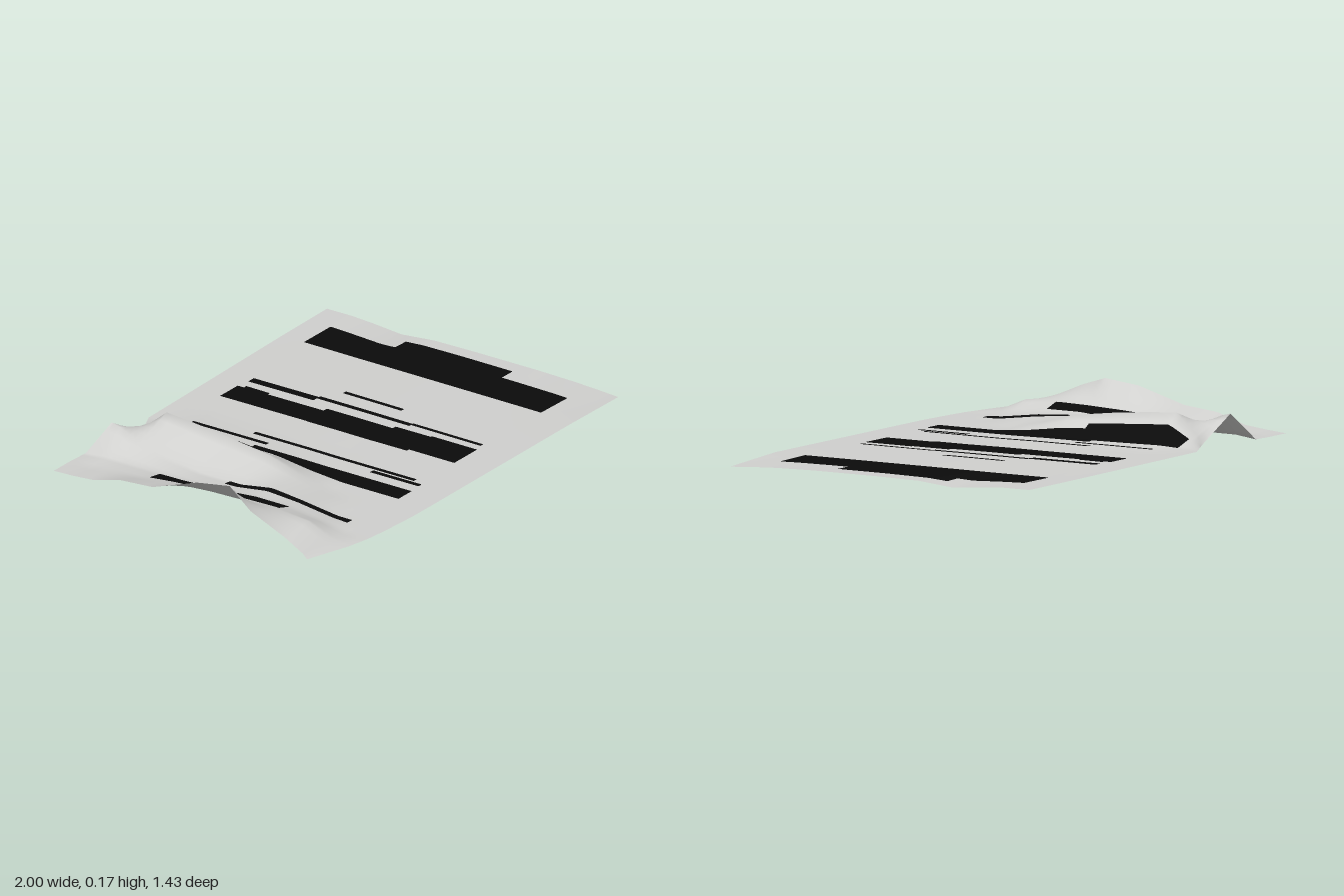
import * as THREE from 'three';

const F = 0.018; // resting height of the flat sheet

// Control grid: column x positions, row z positions and heights (one row per z)
const COLS = [-0.95, -0.8, -0.7, -0.6, -0.42, -0.28, 0.65, 1];
const ROWS = [-0.7, -0.6, -0.5, -0.36, -0.2, 0, 0.15, 0.3, 0.47, 0.58, 0.7];
const HEIGHTS = [
  [F, F, F, 0.13, 0.025, F, F, F],
  [0.025, 0.02, 0.03, 0.12, 0.06, 0.02, F, F],
  [0.035, 0.03, 0.03, 0.08, 0.145, 0.02, F, 0.012],
  [0.075, 0.04, 0.03, 0.05, 0.135, 0.02, F, 0],
  [0.09, 0.06, 0.03, 0.03, 0.12, 0.02, F, 0.015],
  [0.155, 0.075, 0.04, 0.03, 0.095, 0.02, F, F],
  [0.175, 0.08, 0.055, 0.055, 0.05, F, F, F],
  [0.13, 0.085, 0.055, 0.04, F, F, F, F],
  [0.06, 0.075, 0.035, F, F, F, F, 0.015],
  [0.03, 0.03, F, F, F, F, F, 0.01],
  [0.02, F, F, F, F, F, F, 0.003],
];

// Uneven outline of the sheet
const LEFT_X = [-0.91, -0.915, -0.918, -0.925, -0.93, -0.905, -0.89, -0.955, -0.955, -0.985, -1];
const BACK_Z = [-0.7, -0.7, -0.695, -0.64, -0.625, -0.69, -0.715, -0.72];
const FRONT_Z = [0.61, 0.67, 0.69, 0.7, 0.71, 0.71, 0.705, 0.69];

const lerp = THREE.MathUtils.lerp;

function cornerPoint(i, j) {
  let x = COLS[i];
  let z = ROWS[j];
  if (i === 0) x = LEFT_X[j];
  if (i === COLS.length - 1) x = lerp(0.97, 1, j / (ROWS.length - 1));
  if (j === 0) z = BACK_Z[i];
  if (j === ROWS.length - 1) z = FRONT_Z[i];
  return new THREE.Vector3(x, HEIGHTS[j][i], z);
}

// Surface point at grid coordinates (u across the columns, v along the rows)
function surfacePoint(u, v) {
  const i = Math.min(Math.floor(u), COLS.length - 2);
  const j = Math.min(Math.floor(v), ROWS.length - 2);
  const back = cornerPoint(i, j).lerp(cornerPoint(i + 1, j), u - i);
  const front = cornerPoint(i, j + 1).lerp(cornerPoint(i + 1, j + 1), u - i);
  return back.lerp(front, v - j);
}

// Grid coordinate of a position along COLS or ROWS
function gridCoord(list, value) {
  let k = 0;
  while (k < list.length - 2 && value > list[k + 1]) k++;
  return k + (value - list[k]) / (list[k + 1] - list[k]);
}

// Open surface of nu x nv cells whose points come from a function of (0..1, 0..1)
function patch(nu, nv, pointAt) {
  const positions = [];
  const index = [];
  for (let j = 0; j <= nv; j++) {
    for (let i = 0; i <= nu; i++) positions.push(...pointAt(i / nu, j / nv).toArray());
  }
  for (let j = 0; j < nv; j++) {
    for (let i = 0; i < nu; i++) {
      const a = j * (nu + 1) + i;
      const b = a + nu + 1;
      index.push(a, b, a + 1, a + 1, b, b + 1);
    }
  }
  const geometry = new THREE.BufferGeometry();
  geometry.setAttribute('position', new THREE.Float32BufferAttribute(positions, 3));
  geometry.setIndex(index);
  geometry.computeVertexNormals();
  return geometry;
}

// Painted bars: x from, x to, z from, z to, sideways drift over the length
const BARS = [
  [-0.785, -0.715, -0.32, 0.31, 0.008],
  [-0.64, -0.605, -0.055, 0.54, 0.01],
  [-0.37, -0.288, -0.595, -0.12, 0.007],
  [-0.34, -0.25, -0.19, 0.57, 0.015],
  [-0.23, -0.21, -0.52, -0.155, 0.008],
  [-0.167, -0.147, -0.26, 0.52, 0.015],
  [-0.187, -0.165, 0.33, 0.565, 0.005],
  [0.045, 0.165, -0.575, -0.16, 0.01],
  [0.16, 0.182, -0.545, -0.43, 0],
  [0.053, 0.197, -0.16, 0.16, 0.006],
  [0.06, 0.222, 0.16, 0.33, 0.004],
  [0.078, 0.233, 0.33, 0.55, 0.003],
  [0.222, 0.26, -0.565, -0.25, 0.008],
  [0.253, 0.277, -0.25, 0.2, 0.006],
  [0.27, 0.288, 0.2, 0.54, 0.003],
  [0.354, 0.374, -0.195, 0.09, 0.002],
  [0.655, 0.835, -0.605, 0.55, 0.014],
  [0.825, 0.912, -0.29, 0.23, 0.006],
];

export function createModel() {
  const group = new THREE.Group();
  const paper = new THREE.MeshStandardMaterial({ color: 0xd0d0ce, side: THREE.DoubleSide });
  paper.name = 'pale grey';
  const ink = new THREE.MeshStandardMaterial({ color: 0x0b0b0b, side: THREE.DoubleSide });
  ink.name = 'black';

  // Crumpled sheet
  const nu = COLS.length - 1;
  const nv = ROWS.length - 1;
  const sheet = new THREE.Mesh(
    patch(nu * 4, nv * 4, (s, t) => surfacePoint(s * nu, t * nv)), paper);
  sheet.name = 'sheet';
  group.add(sheet);

  // Bars follow the surface on both faces of the sheet
  for (const [side, lift] of [['upper', 0.003], ['lower', -0.003]]) {
    const bars = new THREE.Group();
    bars.name = `${side}Bars`;
    for (const [x0, x1, z0, z1, drift] of BARS) {
      const across = Math.ceil((x1 - x0) / 0.02);
      const along = Math.ceil((z1 - z0) / 0.02);
      const bar = new THREE.Mesh(patch(across, along, (s, t) => {
        const x = lerp(x0, x1, s) + drift * t;
        const z = lerp(z0, z1, t);
        const y = surfacePoint(gridCoord(COLS, x), gridCoord(ROWS, z)).y;
        return new THREE.Vector3(x, y + lift, z);
      }), ink);
      bar.name = 'bar';
      bars.add(bar);
    }
    group.add(bars);
  }
  return group;
}
